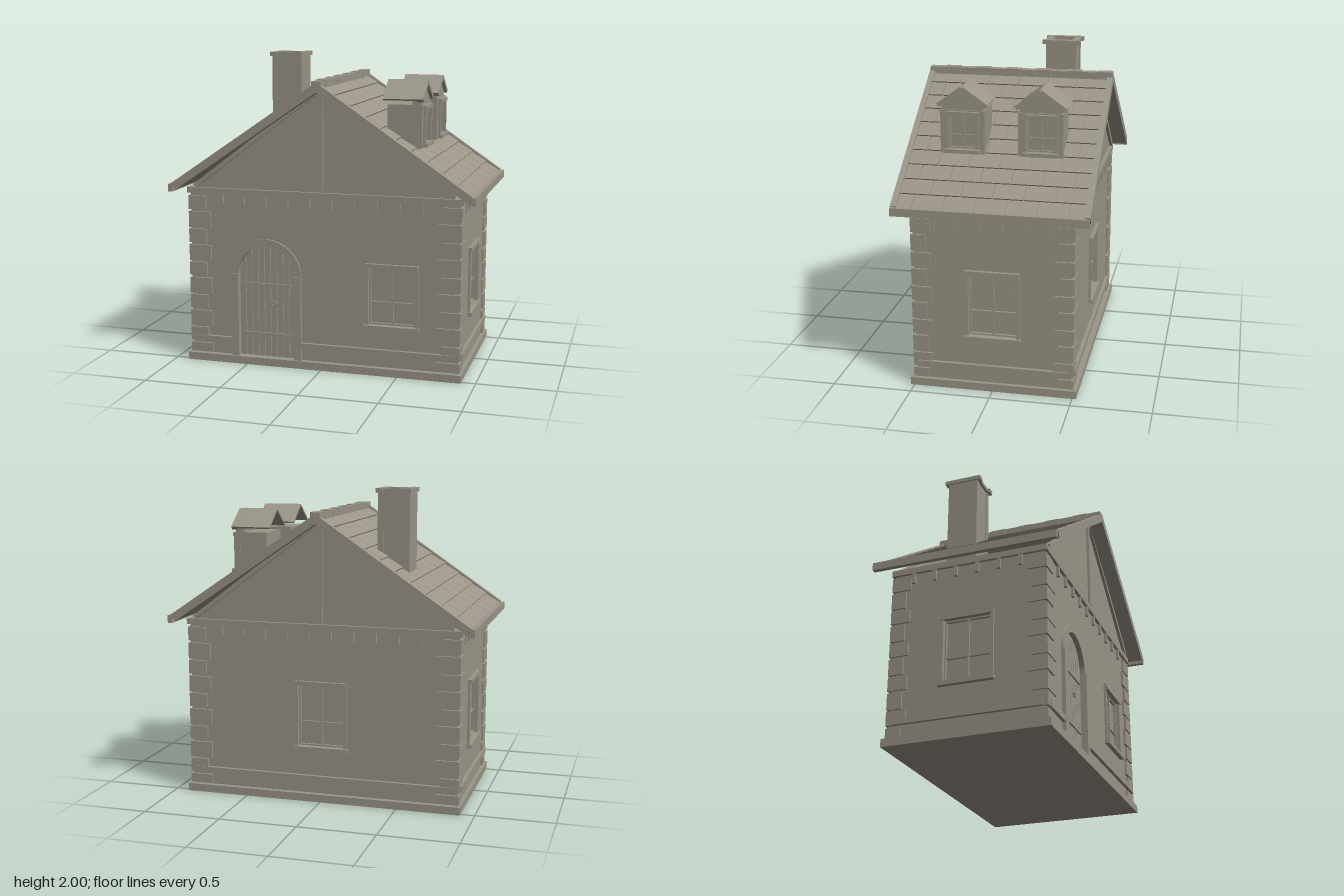
import * as THREE from 'three';

const stone = new THREE.MeshStandardMaterial({ color: 0x9c9689 });
stone.name = 'warm grey';

function add(parent, name, geometry) {
  const mesh = new THREE.Mesh(geometry, stone);
  mesh.name = name;
  parent.add(mesh);
  return mesh;
}

// Box given by its limits on each axis
function box(parent, name, x0, x1, y0, y1, z0, z1) {
  const mesh = add(parent, name, new THREE.BoxGeometry(x1 - x0, y1 - y0, z1 - z0));
  mesh.position.set((x0 + x1) / 2, (y0 + y1) / 2, (z0 + z1) / 2);
  return mesh;
}

// Beam between two points of the xy plane
function bar(parent, name, x0, y0, x1, y1, width, z0, z1) {
  const mesh = add(parent, name, new THREE.BoxGeometry(Math.hypot(x1 - x0, y1 - y0), width, z1 - z0));
  mesh.position.set((x0 + x1) / 2, (y0 + y1) / 2, (z0 + z1) / 2);
  mesh.rotation.z = Math.atan2(y1 - y0, x1 - x0);
  return mesh;
}

// Flat shape extruded from z0 to z1
function plate(parent, name, shape, z0, z1) {
  const geometry = new THREE.ExtrudeGeometry(shape, { depth: z1 - z0, bevelEnabled: false, curveSegments: 20 });
  return add(parent, name, geometry.translate(0, 0, z0));
}

const poly = (pts) => new THREE.Shape(pts.map(([x, y]) => new THREE.Vector2(x, y)));
const rect = (x0, x1, y0, y1) => poly([[x0, y0], [x1, y0], [x1, y1], [x0, y1]]);

function arch(cx, r, bottom) {
  const s = new THREE.Shape();
  s.moveTo(cx - r, bottom);
  s.lineTo(cx + r, bottom);
  s.lineTo(cx + r, 0.6);
  s.absarc(cx, 0.6, r, 0, Math.PI, false);
  s.lineTo(cx - r, bottom);
  return s;
}

function group(parent, name, x = 0, y = 0, z = 0, turn = 0) {
  const g = new THREE.Group();
  g.name = name;
  g.position.set(x, y, z);
  g.rotation.y = turn;
  parent.add(g);
  return g;
}

// Window centred on its opening, facing +z, with its wall face at z = 0
function addWindow(parent, x, y, z, w, h, trim) {
  const g = group(parent, 'window', x, y, z);
  const a = w / 2, b = h / 2, t = trim, s = trim * 0.5;
  box(g, 'glass', -a, a, -b, b, -0.034, -0.028);
  for (const k of [-1, 1]) {
    box(g, 'casing', k * (a + t / 2) - t / 2, k * (a + t / 2) + t / 2, -b, b, -0.01, 0.015);
    box(g, 'sash', k * (a - s / 2) - s / 2, k * (a - s / 2) + s / 2, -b, b, -0.028, -0.01);
    box(g, 'sash', -a, a, k * (b - s / 2) - s / 2, k * (b - s / 2) + s / 2, -0.028, -0.011);
  }
  box(g, 'lintel', -a - t, a + t, b, b + t * 1.3, -0.01, 0.022);
  box(g, 'sill', -a - t * 1.4, a + t * 1.4, -b - t * 1.3, -b, -0.01, 0.03);
  box(g, 'mullion', -0.006, 0.006, -b, b, -0.028, -0.012);
  box(g, 'crossbar', -a, a, -b * 0.22 - 0.005, -b * 0.22 + 0.005, -0.028, -0.014);
  const streaks = [[-0.29, 0.45, -0.45, 0.07], [0, 0.45, -0.4, -0.45], [0.38, 0.45, -0.1, -0.42], [0.46, 0.2, 0.2, -0.4]];
  for (const [x0, y0, x1, y1] of streaks)
    bar(g, 'glassStreak', x0 * w, y0 * h, x1 * w, y1 * h, 0.005, -0.029, -0.024);
}

function addDoor(face) {
  const g = group(face, 'door', -0.37);
  plate(g, 'doorBack', arch(0, 0.192, 0.05), -0.045, -0.03);
  const n = 9, w = 0.38 / n;
  const top = (x) => 0.6 + Math.sqrt(Math.max(0, 0.19 * 0.19 - x * x));
  for (let i = 0; i < n; i++) {
    const x0 = -0.19 + i * w + 0.002, x1 = x0 + w - 0.004, xm = (x0 + x1) / 2;
    plate(g, 'plank', poly([[x0, 0.05], [x1, 0.05], [x1, top(x1)], [xm, top(xm)], [x0, top(x0)]]), -0.03, -0.018);
  }
  for (const y of [0.2, 0.53]) box(g, 'hingeStrap', -0.165, 0.165, y - 0.01, y + 0.01, -0.02, -0.008);
  const knob = add(g, 'doorRing', new THREE.TorusGeometry(0.015, 0.005, 8, 20));
  knob.position.set(0.043, 0.41, -0.01);
  const surround = arch(0, 0.235, 0.05);
  surround.holes.push(arch(0, 0.19, 0.0501));
  plate(g, 'archSurround', surround, -0.01, 0.014);
  for (const s of [-1, 1]) box(g, 'doorPost', s * 0.2125 - 0.0235, s * 0.2125 + 0.0235, 0.05, 0.6, -0.01, 0.024);
}

// Trim shared by the four walls
function addTrim(face, half, count, step, bands) {
  box(face, 'stringCourse', -half - 0.015, half + 0.015, 1.117, 1.155, -0.02, 0.02);
  for (let i = 0; i < count; i++) {
    const x = (i - (count - 1) / 2) * step - 0.012;
    box(face, 'dentil', x - 0.012, x + 0.012, 1.05, 1.117, -0.01, 0.018);
  }
  for (const [x0, x1] of bands) box(face, 'lowerBand', x0, x1, 0.13, 0.168, -0.01, 0.022);
}

function addRoof(model) {
  const angle = Math.atan(0.68), length = 1.173, rows = 10, pitch = length / rows;
  for (const s of [-1, 1]) {
    const g = group(model, 'roofSlope', 0, 1.845, 0);
    g.rotation.z = -s * angle;
    const slab = (name, u0, u1, y0, y1, z0, z1) =>
      box(g, name, Math.min(s * u0, s * u1), Math.max(s * u0, s * u1), y0, y1, z0, z1);
    slab('roofBoard', 0, length, -0.043, -0.02, -0.57, 0.57);
    for (const z of [-0.585, 0.585]) slab('bargeBoard', 0, length, -0.045, 0.006, z - 0.018, z + 0.018);
    // Staggered rows of shingles, each tipped up at its lower edge
    for (let r = 0; r < rows; r++) {
      for (let z = -0.57 - (r % 2) * 0.095; z < 0.565; z += 0.19) {
        const z0 = Math.max(z + 0.002, -0.57), z1 = Math.min(z + 0.188, 0.57);
        const tile = slab('shingle', r * pitch, (r + 1) * pitch + 0.004, -0.021, -0.007, z0, z1);
        tile.rotation.z = s * 0.07;
      }
    }
    box(model, 'eavesFascia', s * 0.98 - 0.015, s * 0.98 + 0.015, 1.135, 1.185, -0.6, 0.6);
  }
  for (let i = 0; i < 12; i++)
    box(model, 'ridgeTile', -0.03, 0.03, 1.815, 1.863 - (i % 2) * 0.004, -0.6 + i * 0.1, -0.502 + i * 0.1);
}

function addChimney(model) {
  const g = group(model, 'chimney', -0.423, 0, -0.21);
  for (const s of [-1, 1]) {
    box(g, 'shaftSide', s * 0.085 - 0.018, s * 0.085 + 0.018, 1.38, 1.978, -0.103, 0.103);
    box(g, 'shaftFace', -0.07, 0.07, 1.38, 1.978, s * 0.082 - 0.014, s * 0.082 + 0.014);
    box(g, 'capSide', s * 0.09 - 0.022, s * 0.09 + 0.022, 1.972, 2, -0.125, 0.125);
    box(g, 'capFace', -0.07, 0.07, 1.974, 1.998, s * 0.09 - 0.022, s * 0.09 + 0.022);
  }
}

// Dormer facing +x, built facing +z and turned
function addDormer(model, z) {
  const g = group(model, 'dormer', 0, 0, z, Math.PI / 2);
  box(g, 'dormerBody', -0.135, 0.135, 1.4, 1.71, 0.395, 0.58);
  const front = rect(-0.138, 0.138, 1.44, 1.71);
  front.holes.push(rect(-0.085, 0.085, 1.47, 1.68));
  plate(g, 'dormerFront', front, 0.575, 0.615);
  addWindow(g, 0, 1.575, 0.615, 0.17, 0.21, 0.018);
  plate(g, 'dormerGable', poly([[-0.13, 1.7], [0.13, 1.7], [0.13, 1.74], [0, 1.845], [-0.13, 1.74]]), 0.55, 0.605);
  for (const s of [-1, 1]) {
    bar(g, 'dormerRoof', 0, 1.852, s * 0.15, 1.74, 0.012, 0.368, 0.59);
    bar(g, 'dormerBarge', 0, 1.845, s * 0.153, 1.737, 0.026, 0.585, 0.625);
  }
}

export function createModel() {
  const model = new THREE.Group();
  model.name = 'house';
  box(model, 'plinth', -0.91, 0.91, 0, 0.05, -0.525, 0.525);
  box(model, 'ceiling', -0.84, 0.84, 1.12, 1.148, -0.45, 0.45);

  // Gabled front and back walls
  for (const front of [true, false]) {
    const face = group(model, front ? 'frontWall' : 'backWall', 0, 0, front ? 0.49 : -0.49, front ? 0 : Math.PI);
    const wall = poly([[-0.885, 0.04], [0.885, 0.04], [0.885, 1.15], [0.86, 1.15], [0, 1.82], [-0.86, 1.15], [-0.885, 1.15]]);
    if (front) wall.holes.push(arch(-0.37, 0.19, 0.045), rect(0.31, 0.61, 0.325, 0.695));
    else wall.holes.push(rect(-0.15, 0.15, 0.36, 0.76));
    plate(face, 'gabledWall', wall, -0.05, 0);
    if (front) {
      addDoor(face);
      addWindow(face, 0.46, 0.51, 0, 0.3, 0.37, 0.02);
    } else addWindow(face, 0, 0.56, 0, 0.3, 0.4, 0.02);
    addTrim(face, 0.885, 10, 0.146, front ? [[-0.86, -0.59], [-0.15, 0.86]] : [[-0.86, 0.86]]);
    box(face, 'gablePost', -0.014, 0.014, 1.17, 1.8, -0.01, 0.016);
    for (const s of [-1, 1]) bar(face, 'gableRake', 0, 1.807, s * 0.85, 1.165, 0.028, -0.01, 0.02);
  }

  // Side walls
  for (const s of [-1, 1]) {
    const face = group(model, 'sideWall', s * 0.885, 0, 0, s * Math.PI / 2);
    const wall = rect(-0.445, 0.445, 0.04, 1.15);
    wall.holes.push(rect(-0.15, 0.15, 0.36, 0.76));
    plate(face, 'plainWall', wall, -0.05, 0);
    addWindow(face, 0, 0.56, 0, 0.3, 0.4, 0.02);
    addTrim(face, 0.49, 6, 0.14, [[-0.47, 0.47]]);
  }

  // Corner stones, alternately long and short
  for (const sx of [-1, 1]) for (const sz of [-1, 1]) for (let i = 0; i < 10; i++) {
    const long = i % 2 === 1, top = 1.1 - Math.floor(i / 2) * 0.22 - (long ? 0.105 : 0);
    const bottom = Math.max(0.055, top - (long ? 0.105 : 0.09));
    const w = long ? 0.15 : 0.12, d = long ? 0.095 : 0.125;
    const cx = sx * (0.897 - w / 2), cz = sz * (0.505 - d / 2);
    box(model, 'cornerStone', cx - w / 2, cx + w / 2, bottom, top, cz - d / 2, cz + d / 2);
  }

  addRoof(model);
  addChimney(model);
  for (const z of [-0.243, 0.24]) addDormer(model, z);
  return model;
}
